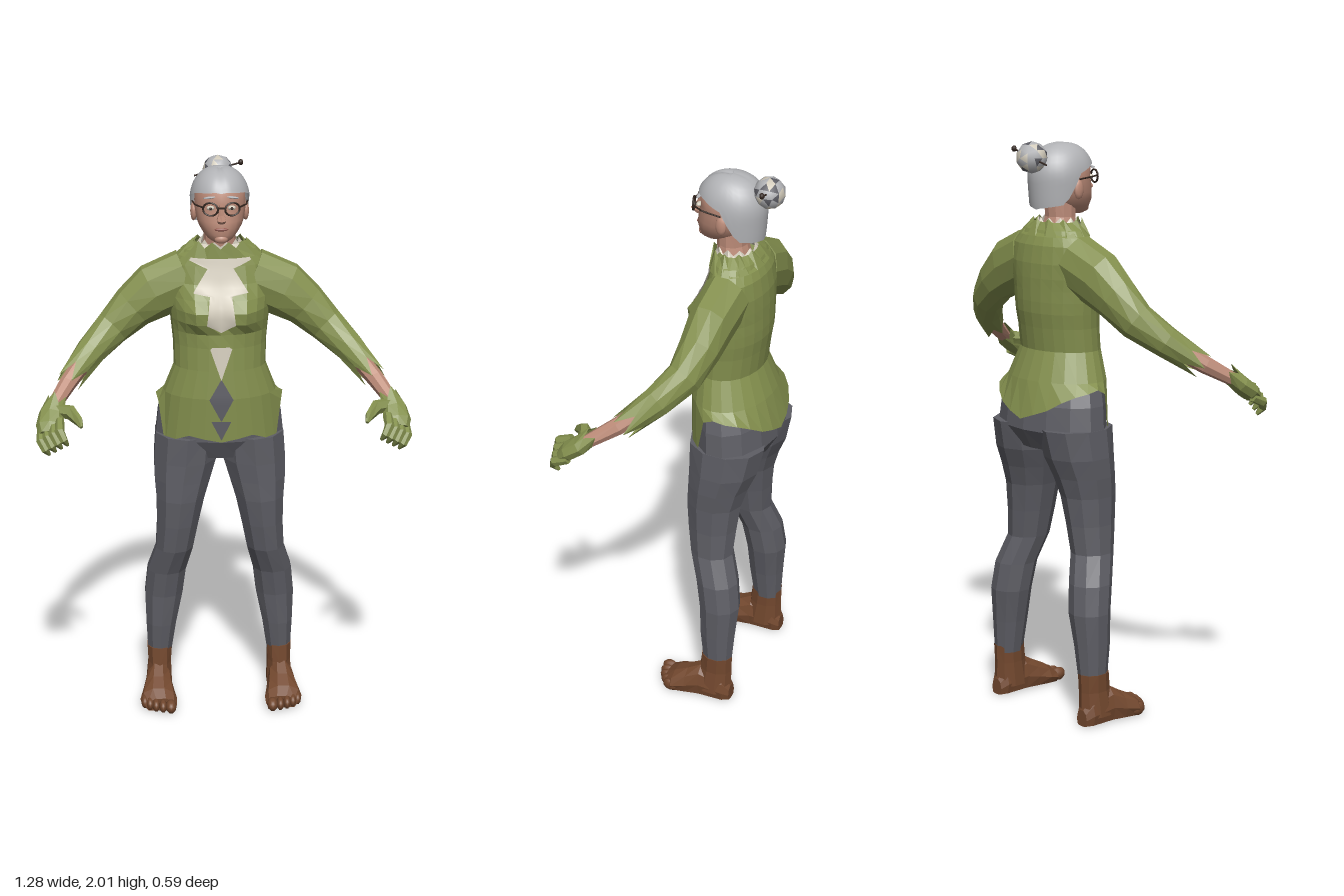
import * as THREE from 'three';

const V = (x, y, z) => new THREE.Vector3(x, y, z);
const mat = (name, color) => new THREE.MeshStandardMaterial({ name, color, side: THREE.DoubleSide });
const M = {
  green: mat('leaf green', 0x84904e), grey: mat('trouser grey', 0x5e5e65), brown: mat('boot brown', 0x74492f),
  skin: mat('skin', 0xbd8c79), hair: mat('silver hair', 0xb2b3b6), cream: mat('cream', 0xd3ccbc),
  dark: mat('dark frame', 0x33261f), lip: mat('lips', 0x94584f),
};

function part(parent, name, geo, material) {
  const m = new THREE.Mesh(geo, material);
  m.name = name;
  parent.add(m);
  return m;
}

// Skin a list of closed rings; flat facets unless smooth
function loft(rings, { start = true, end = true, smooth = false } = {}) {
  const n = rings[0].length, pos = [], idx = [];
  rings.forEach(r => r.forEach(p => pos.push(p.x, p.y, p.z)));
  for (let i = 0; i < rings.length - 1; i++) for (let j = 0; j < n; j++) {
    const a = i * n + j, b = i * n + (j + 1) % n, c = b + n, d = a + n;
    idx.push(a, d, c, a, c, b);
  }
  const cap = (i, flip) => {
    const c = rings[i].reduce((s, p) => s.add(p), V(0, 0, 0)).divideScalar(n), k = pos.length / 3;
    pos.push(c.x, c.y, c.z);
    for (let j = 0; j < n; j++) {
      const a = i * n + j, b = i * n + (j + 1) % n;
      flip ? idx.push(k, b, a) : idx.push(k, a, b);
    }
  };
  if (start) cap(0, false);
  if (end) cap(rings.length - 1, true);
  let g = new THREE.BufferGeometry();
  g.setAttribute('position', new THREE.Float32BufferAttribute(pos, 3));
  g.setIndex(idx);
  if (!smooth) g = g.toNonIndexed();
  g.computeVertexNormals();
  return g;
}

// Horizontal ring from half width, front z and back z
const ringY = (n, y, hw, zf, zb, cx = 0) => Array.from({ length: n }, (_, j) => {
  const a = j / n * Math.PI * 2;
  return V(cx + hw * Math.sin(a), y, (zf + zb) / 2 + (zf - zb) / 2 * Math.cos(a));
});

// Limb along stations [x, y, z, sideRadius, upRadius]; jag makes a toothed end
function limb(st, n, { jagStart = 0, jagEnd = 0, ...opt } = {}) {
  const P = st.map(s => V(s[0], s[1], s[2]));
  return loft(st.map((s, i) => {
    const t = P[Math.min(i + 1, P.length - 1)].clone().sub(P[Math.max(i - 1, 0)]).normalize();
    const side = t.clone().cross(V(0, 1, 0)).normalize(), up = side.clone().cross(t);
    const jag = i === 0 ? jagStart : i === st.length - 1 ? jagEnd : 0;
    return Array.from({ length: n }, (_, j) => {
      const a = j / n * Math.PI * 2;
      return P[i].clone().addScaledVector(side, s[3] * Math.cos(a)).addScaledVector(up, s[4] * Math.sin(a))
        .addScaledVector(t, j % 2 ? jag : -jag);
    });
  }), opt);
}

function ball(parent, name, material, p, r, detail = 1) {
  const m = part(parent, name, new THREE.IcosahedronGeometry(1, detail), material);
  m.position.set(...p);
  m.scale.set(...r);
  return m;
}

// Jacket rows: y, half width, front z, back z
const ROWS = [[1.735, .085, -.065, -.185], [1.71, .13, -.055, -.205], [1.66, .172, -.045, -.228], [1.6, .182, -.03, -.238],
  [1.55, .18, -.012, -.24], [1.51, .175, 0, -.24], [1.47, .172, .002, -.24], [1.43, .168, .002, -.238],
  [1.38, .163, .006, -.23], [1.3, .162, .012, -.22], [1.2, .2, .02, -.258], [1.05, .225, .016, -.292]];
const HEM = [1.04, 1.05, 1.06, 1.04, 1.0, 1.16, 1.18, 1.17, 1.16, 1.14, 1.11, 1.09, 1.07];
const bust = (x, y) => .042 * Math.exp(-(((Math.abs(x) - .085) / .055) ** 2) - ((y - 1.49) / (y > 1.49 ? .075 : .04)) ** 2);

function frontZ(x, y) {
  let i = 0;
  while (i < ROWS.length - 2 && y < ROWS[i + 1][0]) i++;
  const A = ROWS[i], B = ROWS[i + 1], t = (A[0] - y) / (A[0] - B[0]);
  const [hw, zf, zb] = [1, 2, 3].map(k => A[k] + (B[k] - A[k]) * t);
  return (zf + zb) / 2 + (zf - zb) / 2 * Math.sqrt(Math.max(0, 1 - (x / hw) ** 2)) + bust(x, y);
}

// Thin panel on the jacket front, outlined by [y, half width] pairs
function panel(outline) {
  const rows = [], pos = [], idx = [], C = 8;
  outline.forEach(([y, w], i) => {
    if (i) {
      const [y0, w0] = outline[i - 1], k = Math.ceil((y0 - y) / .02);
      for (let s = 1; s < k; s++) rows.push([y0 + (y - y0) * s / k, w0 + (w - w0) * s / k]);
    }
    rows.push([y, w]);
  });
  rows.forEach(([y, w], i) => {
    for (let j = 0; j <= C; j++) {
      const x = w * (j / C * 2 - 1), a = i * (C + 1) + j;
      pos.push(x, y, frontZ(x, y) + .007);
      if (i < rows.length - 1 && j < C) idx.push(a, a + C + 1, a + C + 2, a, a + C + 2, a + 1);
    }
  });
  const g = new THREE.BufferGeometry();
  g.setAttribute('position', new THREE.Float32BufferAttribute(pos, 3));
  g.setIndex(idx);
  g.computeVertexNormals();
  return g;
}

function buildSide(g) {
  // Sleeve, forearm
  part(g, 'sleeve', limb([[.11, 1.605, -.135, .08, .1], [.225, 1.555, -.13, .075, .1], [.3, 1.5, -.125, .068, .08],
    [.375, 1.43, -.105, .058, .065], [.45, 1.365, -.045, .052, .054], [.515, 1.3, .03, .044, .044]], 10, { jagEnd: .035, end: false }), M.green);
  part(g, 'forearm', limb([[.46, 1.355, -.03, .034, .034], [.53, 1.285, .06, .03, .03], [.585, 1.225, .155, .024, .022]], 8), M.skin);
  // Leafy glove
  part(g, 'glovePalm', limb([[.57, 1.25, .135, .032, .03], [.585, 1.215, .17, .044, .032], [.59, 1.185, .21, .048, .032],
    [.59, 1.165, .235, .038, .022]], 8, { jagStart: .018, start: false }), M.green);
  for (let i = 0; i < 4; i++) {
    const s = (i - 1.5) * .027, x = .588 + s * .78, y = 1.187 - s * .48, z = .21 - s * .2;
    part(g, 'finger', limb([[x, y, z, .015, .016], [x, y - .022, z + .05, .017, .018], [x - .014, y - .048, z + .064, .014, .014],
      [x - .026, y - .07, z + .05, .006, .006]], 6), M.green);
  }
  part(g, 'thumb', limb([[.565, 1.225, .17, .02, .024], [.52, 1.225, .19, .022, .026], [.492, 1.205, .225, .015, .018],
    [.483, 1.19, .245, .006, .006]], 6), M.green);
  // Trouser leg: y, inner x, outer x, back z, front z
  const leg = [[1.04, 0, .233, -.28, -.006], [.94, .008, .24, -.258, -.008], [.87, .03, .238, -.228, -.008], [.8, .052, .232, -.207, -.006],
    [.7, .075, .23, -.195, -.015], [.6, .095, .235, -.187, -.03], [.5, .12, .266, -.22, -.066], [.4, .132, .276, -.232, -.084],
    [.28, .157, .272, -.221, -.09], [.16, .176, .266, -.212, -.104]];
  part(g, 'trouserLeg', loft(leg.map(([y, a, b, zb, zf]) => ringY(10, y, (b - a) / 2, zf, zb, (a + b) / 2))), M.grey);
  // Foot
  part(g, 'ankle', loft([ringY(10, .185, .047, -.098, -.215, .222), ringY(10, .12, .044, -.09, -.213, .222),
    ringY(10, .03, .05, -.07, -.214, .225)]), M.brown);
  const foot = [[-.214, .225, .025, .06], [-.19, .226, .042, .1], [-.1, .227, .048, .13], [-.05, .229, .058, .1], [0, .23, .068, .075], [.035, .222, .058, .05]];
  part(g, 'foot', loft(foot.map(([z, cx, hw, h]) => Array.from({ length: 10 }, (_, j) => {
    const a = j / 5 * Math.PI;
    return V(cx - hw * Math.cos(a), Math.max(0, h * (.4 + .6 * Math.sin(a))), z);
  }))), M.brown);
  [[.186, .052], [.215, .046], [.24, .036], [.262, .022], [.281, .005]].forEach(([x, z], i) =>
    ball(g, 'toe', M.brown, [x, .025, z], [i ? .014 : .02, .025, .03]));
  // Ear, eye, lens rim and temple arm
  ball(g, 'ear', M.skin, [.089, 1.845, -.1], [.012, .034, .02]);
  ball(g, 'eye', M.cream, [.036, 1.88, .003], [.014, .008, .01]);
  ball(g, 'pupil', M.dark, [.036, 1.88, .012], [.005, .005, .004]);
  const brow = ball(g, 'eyebrow', M.hair, [.038, 1.915, .0], [.024, .004, .008]);
  brow.rotation.z = -.12;
  const rim = part(g, 'lensRim', new THREE.TorusGeometry(.026, .0035, 6, 18), M.dark);
  rim.position.set(.037, 1.88, .022);
  rim.rotation.y = .3;
  rim.scale.y = .85;
  part(g, 'templeArm', limb([[.062, 1.885, .014, .003, .003], [.088, 1.885, -.03, .003, .003], [.094, 1.88, -.1, .003, .003]], 5), M.dark);
}

function buildHead(g) {
  part(g, 'neck', loft([ringY(12, 1.82, .055, -.045, -.16), ringY(12, 1.75, .055, -.05, -.155), ringY(12, 1.68, .07, -.06, -.175)]), M.skin);
  const face = [[1.965, .04, -.04, -.14], [1.945, .072, -.008, -.17], [1.915, .086, .01, -.185], [1.885, .088, .006, -.185], [1.86, .087, .011, -.18],
    [1.83, .082, .016, -.17], [1.808, .074, .02, -.16], [1.785, .06, .015, -.14], [1.768, .045, .013, -.11], [1.756, .026, -.005, -.07]];
  part(g, 'face', loft(face.map(r => ringY(18, ...r)), { smooth: true }), M.skin);
  part(g, 'nose', loft([ringY(6, 1.895, .007, .014, -.01), ringY(6, 1.86, .011, .036, -.01), ringY(6, 1.842, .018, .052, -.01),
    ringY(6, 1.83, .013, .034, -.01)]), M.skin);
  ball(g, 'chin', M.skin, [0, 1.772, .003], [.024, .016, .016]);
  ball(g, 'mouth', M.lip, [0, 1.808, .016], [.024, .006, .007]);
  part(g, 'glassesBridge', new THREE.BoxGeometry(.024, .005, .005), M.dark).position.set(0, 1.885, .031);
  // Hair shell with a hairline that drops towards the nape
  const line = [[0, 64], [55, 70], [90, 82], [120, 140], [180, 155]], rings = [], n = 32;
  const limit = deg => {
    const i = line.findIndex(p => p[0] >= deg), B = line[Math.max(i, 1)], A = line[Math.max(i, 1) - 1];
    return A[1] + (B[1] - A[1]) * (deg - A[0]) / (B[0] - A[0]);
  };
  for (let i = 0; i <= 14; i++) rings.push(Array.from({ length: n }, (_, j) => {
    const a = j / n * Math.PI * 2, deg = Math.acos(Math.cos(a)) * 180 / Math.PI;
    const th = Math.max(.01, i / 14) * limit(Math.min(deg, 179.99)) * Math.PI / 180;
    const r = th < Math.PI / 2 ? Math.sin(th) ** .85 : 1 - .06 * (th - Math.PI / 2);
    const crown = .006 * Math.exp(-((Math.sin(a) * r / .08) ** 2));
    return V(.103 * r * Math.sin(a), 1.885 + .115 * Math.cos(th) - crown * (deg < 90 ? 1 : .3), -.1 + .122 * r * Math.cos(a));
  }));
  part(g, 'hair', loft(rings, { end: false, smooth: true }), M.hair);
  // Bun of patchwork strands with a pin
  const bun = new THREE.IcosahedronGeometry(.054, 1);
  for (let i = 0; i < 80; i++) bun.addGroup(i * 3, 3, [0, 1, 0, 2, 1, 0, 0][(i * 5) % 7]);
  part(g, 'bun', bun, [M.hair, M.cream, M.grey]).position.set(0, 1.955, -.232);
  const pin = part(g, 'hairPin', new THREE.CylinderGeometry(.003, .003, .17, 6), M.dark);
  pin.position.set(0, 1.957, -.24);
  pin.rotation.z = -1.3;
  ball(g, 'pinHead', M.dark, [.08, 1.98, -.24], [.009, .011, .009]);
}

export function createModel() {
  const model = new THREE.Group();
  model.name = 'standingWoman';

  // Jacket with a pointed hem
  const N = 24;
  const rings = ROWS.map((r, i) => ringY(N, ...r).map((p, j) => {
    if (i === ROWS.length - 1) p.y = HEM[j <= 12 ? j : N - j];
    if (j < 6 || j > 18) p.z += bust(p.x, p.y);
    return p;
  }));
  part(model, 'jacket', loft(rings, { start: false, end: false }), M.green);
  part(model, 'hips', loft([ringY(14, 1.195, .2, -.005, -.245), ringY(14, 1.12, .223, -.004, -.27),
    ringY(14, 1.03, .233, -.006, -.28), ringY(14, .96, .15, -.04, -.24)]), M.grey);

  // Blouse front and trouser panels
  part(model, 'jabot', panel([[1.735, .07], [1.68, .107], [1.655, .045], [1.575, .095], [1.595 - .03, .038], [1.47, .05], [1.44, .0]]), M.cream);
  part(model, 'blouseGap', panel([[1.388, .03], [1.38, .038], [1.27, 0]]), M.cream);
  part(model, 'lowerGap', panel([[1.275, 0], [1.2, .042], [1.12, 0]]), M.grey);
  part(model, 'hemGap', panel([[1.12, .035], [1.05, 0]]), M.grey);

  // Toothed collars
  const collar = (y0, y1, w0, w1, d, jag) => loft([ringY(20, y0, w0, -.115 + d, -.115 - d).map((p, j) => (p.y += j % 2 ? jag : -jag, p)),
    ringY(20, y1, w1, -.13 + d * 1.25, -.13 - d * 1.25)], { start: false, end: false });
  part(model, 'blouseCollar', collar(1.74, 1.695, .066, .1, .062, .01), M.cream);
  part(model, 'leafCollar', collar(1.735, 1.69, .092, .15, .072, .012), M.green);

  buildHead(model);

  // Paired parts, mirrored
  for (const s of [1, -1]) {
    const side = new THREE.Group();
    side.name = s > 0 ? 'leftSide' : 'rightSide';
    side.scale.x = s;
    buildSide(side);
    model.add(side);
  }
  return model;
}
